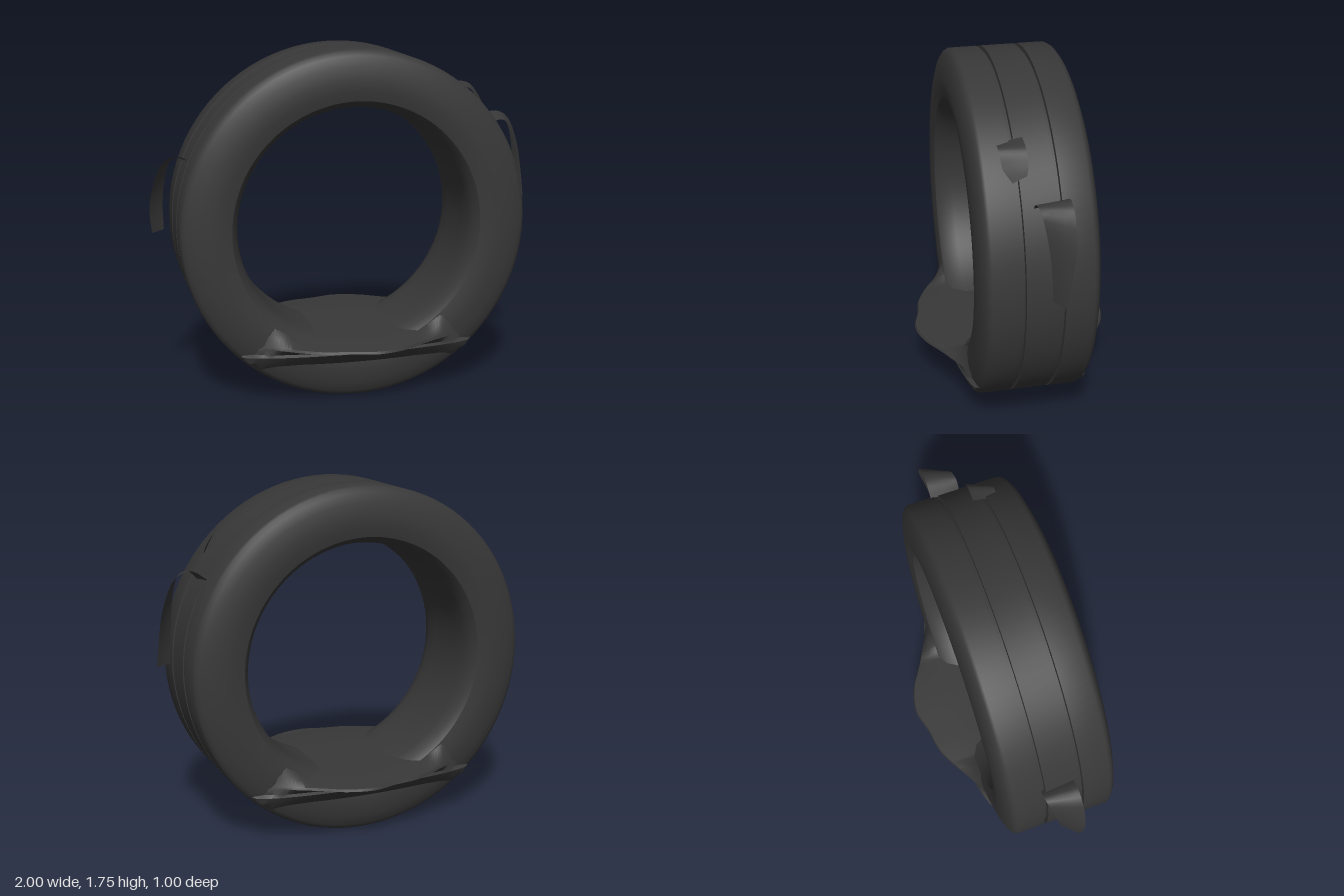
import * as THREE from 'three';
import { toCreasedNormals } from 'three/addons/utils/BufferGeometryUtils.js';

const CY = 0.88; // wheel axis height
const rubber = new THREE.MeshStandardMaterial({ color: 0x383838 });
const thinRubber = new THREE.MeshStandardMaterial({ color: 0x383838, side: THREE.DoubleSide });

// Surface through equal-length rows of points
function loft(rows, closed) {
  const n = rows[0].length, index = [];
  for (let i = 0; i < rows.length - 1; i++) {
    for (let j = 0; j < (closed ? n : n - 1); j++) {
      const k = (j + 1) % n, a = i * n + j, b = i * n + k;
      index.push(a, b, a + n, b, b + n, a + n);
    }
  }
  const g = new THREE.BufferGeometry();
  g.setAttribute('position', new THREE.Float32BufferAttribute(rows.flat(2), 3));
  g.setIndex(index);
  return g;
}

function addMesh(group, name, geometry, material = rubber) {
  const mesh = new THREE.Mesh(geometry, material);
  mesh.name = name;
  group.add(mesh);
  return mesh;
}

// Tyre body: one half of the profile (radius, width), mirrored
function tyreGeometry() {
  const half = [
    [0.876, 0.082], [0.855, 0.084], [0.855, 0.1], [0.876, 0.102], // tread groove
    [0.876, 0.235], [0.868, 0.25], [0.848, 0.264],                // shoulder
    [0.8, 0.28], [0.735, 0.292], [0.68, 0.291], [0.63, 0.28],     // sidewall
    [0.605, 0.25], [0.59, 0.19], [0.585, 0.1],                    // bead and lining
  ];
  const p = (r, w) => new THREE.Vector2(r, w);
  const top = half.map(([r, w]) => p(r, w));
  const bottom = half.map(([r, w]) => p(r, -w)).reverse();
  const profile = [...bottom, ...top, bottom[0].clone()];
  const g = toCreasedNormals(new THREE.LatheGeometry(profile, 96), 0.55);
  return g.rotateX(Math.PI / 2).translate(0, CY, 0);
}

// Squashed bottom: flattened floor, flared lips and a fold below them
function bulgeGeometry() {
  const reach = new THREE.CatmullRomCurve3([
    [-0.6, 0.25], [-0.5, 0.29], [-0.4, 0.345], [-0.3, 0.405], [-0.2, 0.45], [-0.08, 0.47], [0.05, 0.5],
    [0.18, 0.47], [0.3, 0.4], [0.4, 0.345], [0.5, 0.295], [0.6, 0.25],
  ].map(([x, z]) => new THREE.Vector3(x, 0, z)));
  const rows = [];
  for (let i = 0; i <= 64; i++) {
    const { x, z: tip } = reach.getPoint(i / 64);
    const ground = CY - Math.sqrt(0.86 ** 2 - x * x);
    const rim = Math.min(0.42, Math.max(0.33, CY - Math.sqrt(Math.max(0, 0.63 ** 2 - x * x))));
    const bell = Math.cos((x / 0.6) * Math.PI / 2);
    const fold = 0.255 + 0.1 * Math.sqrt(Math.max(0, bell));
    const under = Math.min(fold - 0.005, tip);
    const side = [
      [0.33, 0], [0.33, 0.16], [rim, 0.275],
      [0.31 + (rim - 0.31) * 0.45, 0.275 + (tip - 0.275) * 0.5],
      [0.312, tip - 0.006], [0.3, tip],
      [0.272, under], [0.258, fold],
      [0.225, 0.255 + (fold - 0.255) * 0.7], [0.185, 0.255 + 0.025 * bell], [0.18, 0.2],
    ];
    const ring = [...side, ...side.slice(1).reverse().map(([y, z]) => [y, -z])];
    rows.push(ring.map(([y, z]) => [x, Math.max(y, ground), z]));
  }
  return toCreasedNormals(loft(rows, true), 0.7);
}

// Torn, twisted tread strip between two edge curves
function stripGeometry(edgeA, edgeB) {
  const curve = (e) => new THREE.CatmullRomCurve3(e.map((p) => new THREE.Vector3(...p)));
  const a = curve(edgeA).getPoints(16), b = curve(edgeB).getPoints(16);
  const rows = a.map((p, i) => [0, 0.33, 0.67, 1].map((t) => p.clone().lerp(b[i], t).toArray()));
  const g = loft(rows, false);
  g.computeVertexNormals();
  return g;
}

export function createModel() {
  const model = new THREE.Group();
  model.name = 'wornTyre';

  addMesh(model, 'tyreBody', tyreGeometry());
  addMesh(model, 'squashedBottom', bulgeGeometry());

  addMesh(model, 'leftTornStrip', stripGeometry(
    [[0.75, 1.3, 0.03], [0.8, 1.35, 0.03], [0.85, 1.345, 0.02], [0.89, 1.25, 0], [0.91, 1.1, -0.02], [0.92, 0.92, -0.03]],
    [[0.75, 1.33, -0.12], [0.83, 1.38, -0.12], [0.91, 1.35, -0.12], [0.97, 1.22, -0.12], [0.99, 1.08, -0.1], [1, 0.92, -0.075]],
  ), thinRubber);
  addMesh(model, 'rightTornStrip', stripGeometry(
    [[-0.78, 1.17, -0.1], [-0.84, 1.205, -0.1], [-0.88, 1.19, -0.09], [-0.91, 1.1, -0.07], [-0.925, 0.98, -0.05], [-0.925, 0.86, -0.03]],
    [[-0.78, 1.2, 0.06], [-0.86, 1.24, 0.06], [-0.93, 1.21, 0.06], [-0.98, 1.1, 0.06], [-1, 0.98, 0.055], [-0.99, 0.86, 0.04]],
  ), thinRubber);
  addMesh(model, 'smallTornFlap', stripGeometry(
    [[0.54, 1.545, 0.16], [0.6, 1.54, 0.16], [0.65, 1.47, 0.15], [0.69, 1.4, 0.135]],
    [[0.55, 1.57, 0.04], [0.64, 1.55, 0.04], [0.69, 1.49, 0.04], [0.71, 1.45, 0.05]],
  ), thinRubber);

  return model;
}
